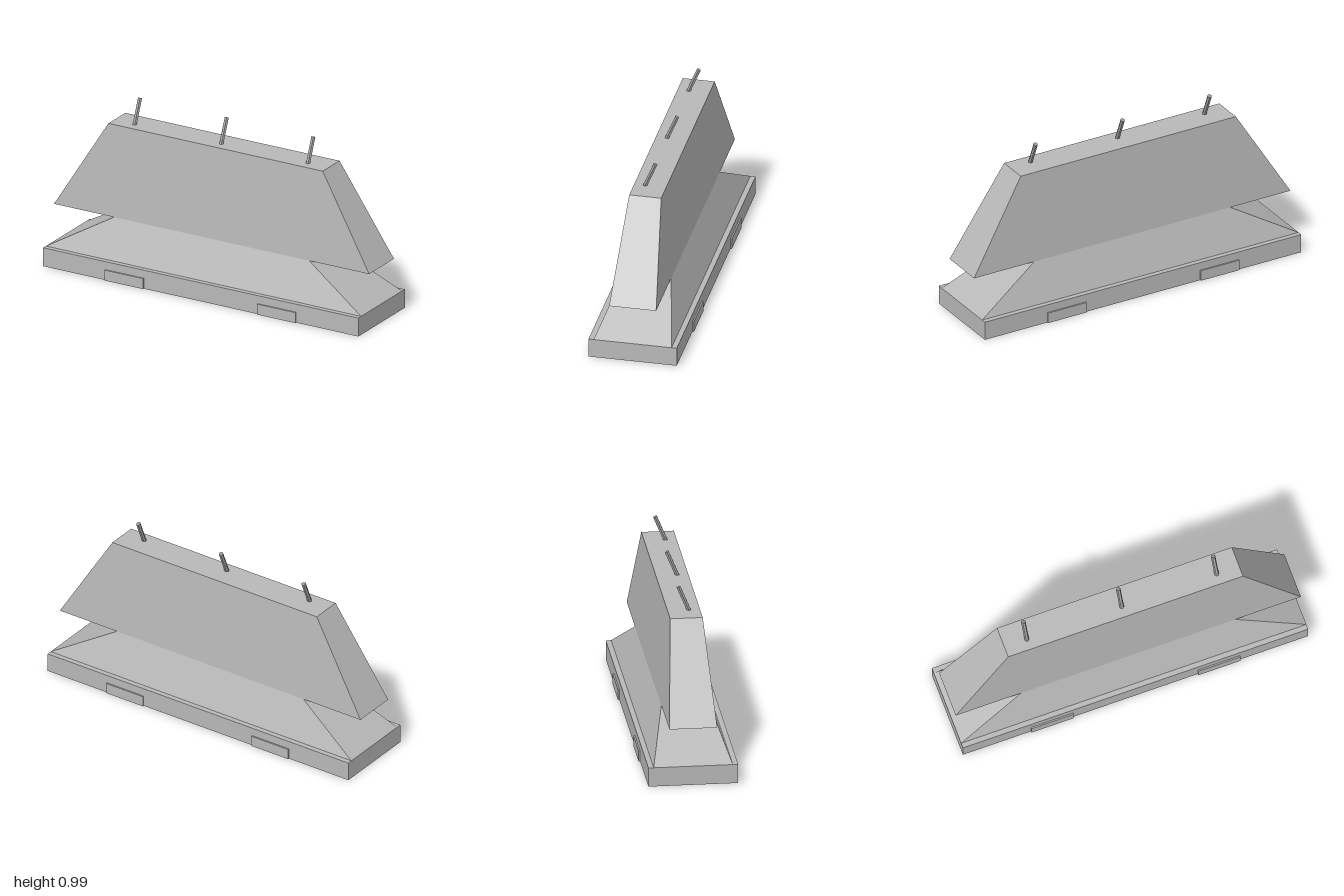
import * as THREE from 'three';

const concrete = new THREE.MeshStandardMaterial({ color: 0xb8b8b8 });
concrete.name = 'concrete grey';
const steel = new THREE.MeshStandardMaterial({ color: 0xa2a2a2 });
steel.name = 'steel grey';

// Box between two heights whose half-sizes differ at bottom and top.
function taperedBlock(name, y0, y1, [bx, bz], [tx, tz]) {
  const geo = new THREE.BoxGeometry(2, 1, 2);
  const p = geo.attributes.position;
  for (let i = 0; i < p.count; i++) {
    const top = p.getY(i) > 0;
    p.setXYZ(i, p.getX(i) * (top ? tx : bx), top ? y1 : y0, p.getZ(i) * (top ? tz : bz));
  }
  geo.computeVertexNormals();
  const mesh = new THREE.Mesh(geo, concrete);
  mesh.name = name;
  return mesh;
}

export function createModel() {
  const model = new THREE.Group();
  model.name = 'concreteBarrier';

  // Plinth, pinched lower slope and overhanging upper wall
  model.add(
    taperedBlock('base', 0, 0.108, [1, 0.246], [1, 0.246]),
    taperedBlock('lowerSlope', 0.108, 0.326, [1, 0.217], [0.62, 0.131]),
    taperedBlock('upperWall', 0.326, 0.849, [1, 0.131], [0.68, 0.089]),
  );

  // Shallow pads low on the front and back of the plinth
  for (const x of [-0.483, 0.483]) {
    for (const side of [-1, 1]) {
      const pad = new THREE.Mesh(new THREE.BoxGeometry(0.244, 0.061, 0.012), concrete);
      pad.name = 'footPad';
      pad.position.set(x, 0.0305, side * 0.248);
      model.add(pad);
    }
  }

  // Six-sided rods leaning backwards out of the top
  const rodGeo = new THREE.CylinderGeometry(0.0125, 0.0125, 0.165, 6, 1, false, Math.PI / 2);
  const rodMaterial = steel.clone();
  rodMaterial.flatShading = true;
  rodMaterial.name = steel.name;
  for (const x of [-0.55, 0, 0.55]) {
    const rod = new THREE.Mesh(rodGeo, rodMaterial);
    rod.name = 'topRod';
    rod.position.set(x, 0.908, 0.003);
    rod.rotation.x = -0.395;
    model.add(rod);
  }
  return model;
}
